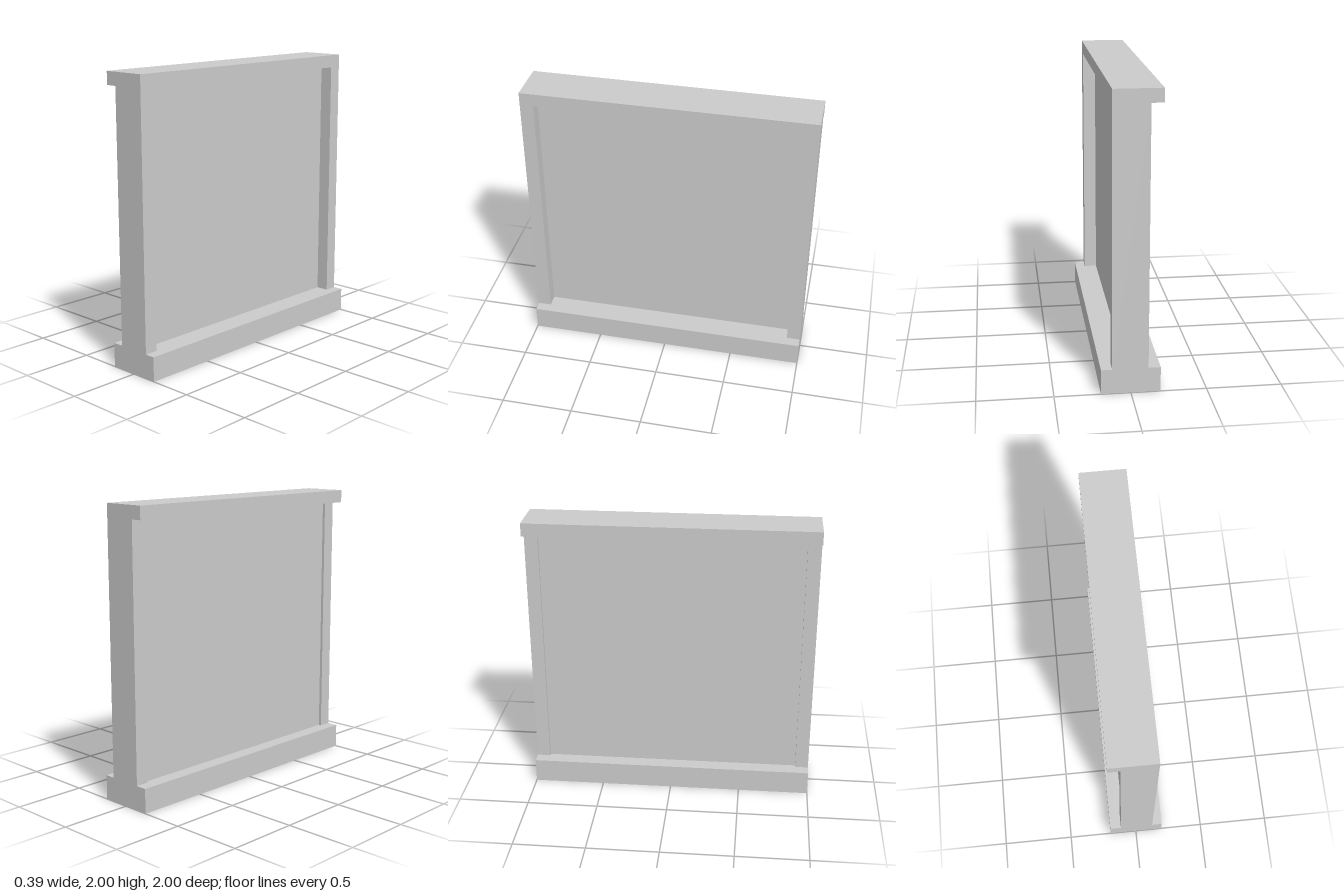
import * as THREE from 'three';

export function createModel() {
  const model = new THREE.Group();
  const material = new THREE.MeshStandardMaterial({ color: 0xcccccc, flatShading: true });

  // Box given by its lower and upper bounds on each axis
  const addBox = (name, [x0, x1], [y0, y1], [z0, z1]) => {
    const mesh = new THREE.Mesh(new THREE.BoxGeometry(x1 - x0, y1 - y0, z1 - z0), material);
    mesh.position.set((x0 + x1) / 2, (y0 + y1) / 2, (z0 + z1) / 2);
    mesh.name = name;
    model.add(mesh);
  };

  const baseTop = 0.17, beamBottom = 1.91, inner = 0.907;
  const opening = [baseTop, beamBottom];

  // Wide plinth under the frame
  addBox('base', [-0.195, 0.195], [0, baseTop], [-1, 1]);

  // Top beam, overhanging on one side only
  addBox('topBeam', [-0.195, 0.122], [beamBottom, 2], [-1, 1]);

  // Upright posts at both ends
  addBox('frontPost', [-0.115, 0.122], opening, [inner, 1]);
  addBox('backPost', [-0.115, 0.122], opening, [-1, -inner]);

  // Panel set back from both faces of the posts
  addBox('panel', [-0.095, 0.03], opening, [-inner, inner]);

  return model;
}
